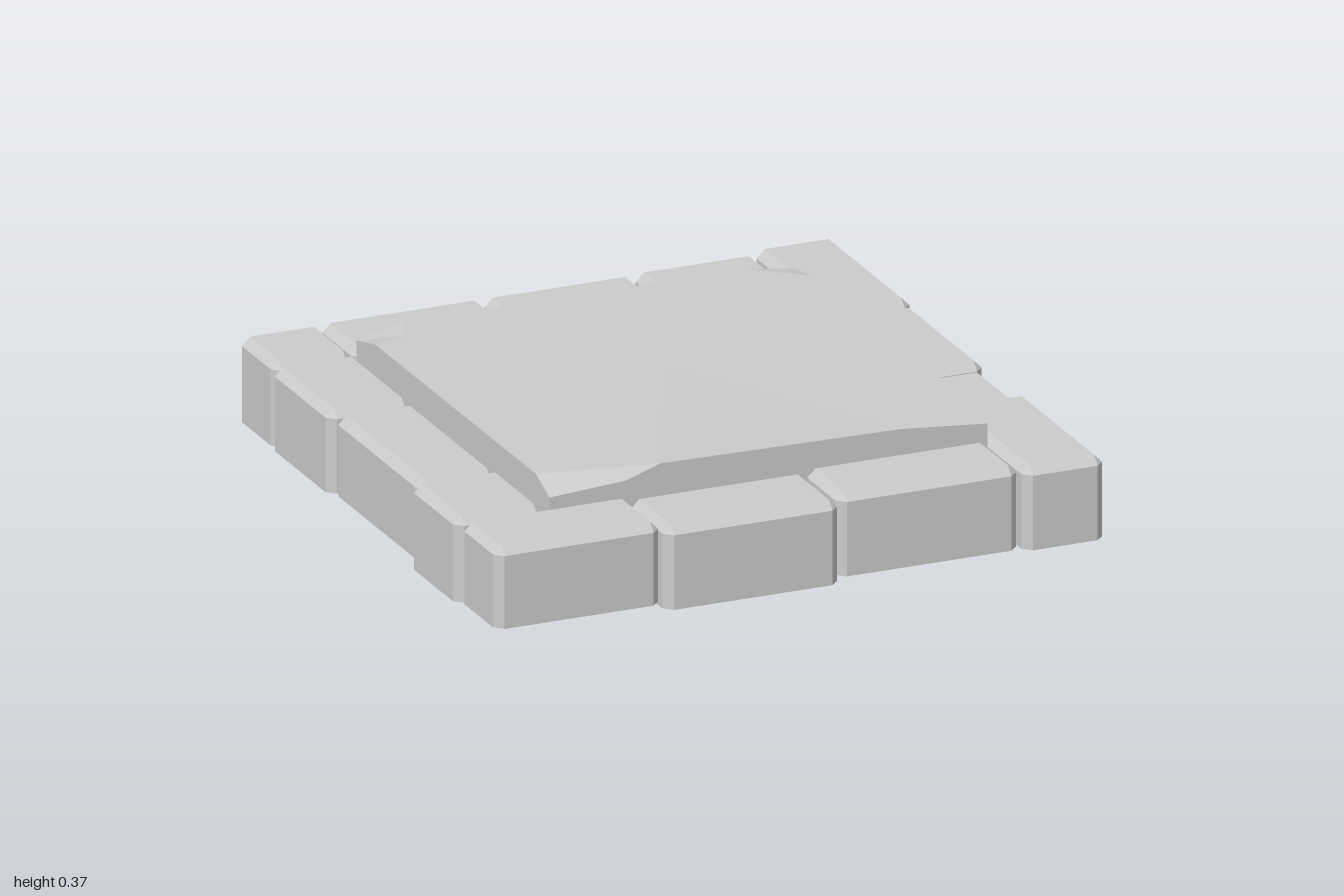
import * as THREE from 'three';

const material = new THREE.MeshStandardMaterial({ color: 0xcccccc, flatShading: true, side: THREE.DoubleSide });

// Builds a flat-shaded mesh from a list of triangles, each three [x, y, z] corners.
function facetMesh(name, triangles) {
  const geometry = new THREE.BufferGeometry();
  geometry.setAttribute('position', new THREE.Float32BufferAttribute(triangles.flat(2), 3));
  geometry.computeVertexNormals();
  const mesh = new THREE.Mesh(geometry, material);
  mesh.name = name;
  return mesh;
}

const quad = (a, b, c, d) => [[a, b, c], [a, c, d]];

// Kerb brick: cut upright corners, bevelled top, open underneath.
function brick(name, x0, x1, z0, z1, y0, y1, c = 0.026) {
  const outline = [
    [x0 + c, z1], [x1 - c, z1], [x1, z1 - c], [x1, z0 + c],
    [x1 - c, z0], [x0 + c, z0], [x0, z0 + c], [x0, z1 - c],
  ];
  const at = (y) => outline.map(([x, z]) => [x, y, z]);
  const bottom = at(y0), shoulder = at(y1 - c);
  const top = outline.map(([x, z]) => [
    THREE.MathUtils.clamp(x, x0 + c, x1 - c), y1, THREE.MathUtils.clamp(z, z0 + c, z1 - c),
  ]);
  const triangles = quad(top[0], top[1], top[3], top[5]);
  for (let i = 0; i < 8; i++) {
    const j = (i + 1) % 8;
    triangles.push(...quad(bottom[i], bottom[j], shoulder[j], shoulder[i]));
    triangles.push([shoulder[i], shoulder[j], top[j]]);
    if (i % 2 === 0) triangles.push([shoulder[i], top[j], top[i]]);
  }
  return facetMesh(name, triangles);
}

// Centre slab: a nearly flat top with chipped corners and straight walls, open underneath.
function slab() {
  const x0 = -0.695, x1 = 0.71, z0 = -0.68, z1 = 0.73, base = 0.07;
  const frontLowCorner = [x0, 0.317, z1], frontLowMid = [-0.45, 0.333, z1];
  const frontChipEnd = [-0.34, 0.37, z1], sideChipEnd = [x0, 0.357, 0.63];
  const frontRightA = [0.43, 0.36, z1], frontRightCorner = [x1, 0.335, z1], frontRightB = [x1, 0.357, 0.61];
  const backRightA = [x1, 0.354, -0.55], backRightCorner = [x1, 0.332, z0], backRightB = [0.55, 0.354, z0];
  const backLeftA = [-0.54, 0.356, z0], backLeftCorner = [x0, 0.32, z0];
  const backLeftMid = [-0.585, 0.356, -0.575], backLeftB = [x0, 0.355, -0.54];

  // Top face, fanned from its middle
  const top = [frontChipEnd, frontRightA, frontRightB, backRightA, backRightB,
    backLeftA, backLeftMid, backLeftB, sideChipEnd];
  const triangles = top.map((p, i) => [[0, 0.361, 0], p, top[(i + 1) % top.length]]);

  // Corner chips
  triangles.push(
    [frontLowCorner, frontLowMid, sideChipEnd], [frontLowMid, frontChipEnd, sideChipEnd],
    [frontRightA, frontRightCorner, frontRightB],
    [backRightA, backRightCorner, backRightB],
    [backLeftA, backLeftCorner, backLeftMid], [backLeftMid, backLeftCorner, backLeftB],
  );

  // Walls below the rim
  const rim = [frontLowCorner, frontLowMid, frontChipEnd, frontRightA, frontRightCorner, frontRightB,
    backRightA, backRightCorner, backRightB, backLeftA, backLeftCorner, backLeftB, sideChipEnd];
  rim.forEach((p, i) => {
    const q = rim[(i + 1) % rim.length];
    triangles.push(...quad([p[0], base, p[2]], [q[0], base, q[2]], q, p));
  });
  return facetMesh('centreSlab', triangles);
}

// Brick extents: x0, x1, z0, z1, y0, y1
const rows = {
  frontBrick: [
    [-0.975, -0.445, 0.72, 0.98, 0.03, 0.285],
    [-0.44, 0.12, 0.72, 1.0, 0.015, 0.275],
    [0.125, 0.705, 0.72, 0.975, 0.025, 0.285],
  ],
  leftBrick: [
    [0.718, 0.977, 0.405, 0.985, 0.02, 0.28],
    [0.718, 0.957, 0.125, 0.4, 0, 0.26],
    [0.718, 0.972, -0.41, 0.118, 0.025, 0.275],
    [0.718, 0.975, -1.0, -0.417, 0.03, 0.285],
  ],
  rightBrick: [
    [-0.985, -0.7, 0.375, 0.71, 0.02, 0.287],
    [-0.955, -0.7, -0.245, 0.368, 0.03, 0.28],
    [-0.97, -0.7, -0.675, -0.253, 0.025, 0.285],
    [-0.957, -0.7, -0.945, -0.683, 0.02, 0.285],
  ],
  backBrick: [
    [-0.69, -0.177, -0.965, -0.703, 0.03, 0.28],
    [-0.17, 0.307, -0.965, -0.703, 0.01, 0.28],
    [0.315, 0.703, -0.965, -0.703, 0.025, 0.285],
  ],
};

export function createModel() {
  const model = new THREE.Group();
  model.name = 'stoneFloorTile';
  model.add(slab());
  for (const [name, bricks] of Object.entries(rows)) {
    bricks.forEach((extent, i) => model.add(brick(name + (i + 1), ...extent)));
  }
  return model;
}
